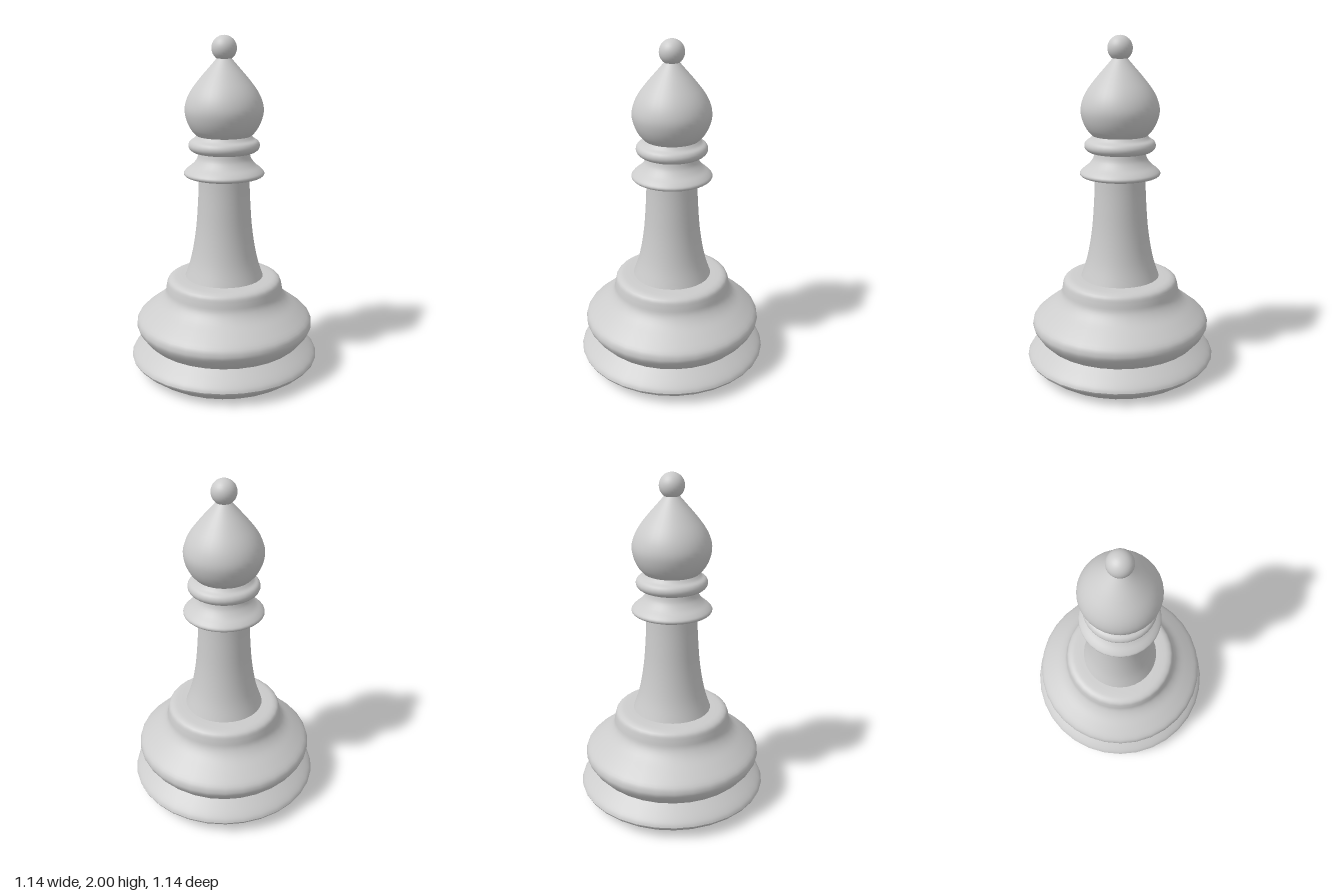
import * as THREE from 'three';

const SEGMENTS = 32;

// Smooth profile through [radius, height] points, listed from bottom to top
function smooth(points, steps) {
  const curve = new THREE.SplineCurve(points.map(([r, y]) => new THREE.Vector2(r, y)));
  return curve.getPoints(steps);
}

export function createModel() {
  const group = new THREE.Group();
  // The turned shell is hollow and open underneath
  const material = new THREE.MeshStandardMaterial({ color: 0xcccccc, side: THREE.DoubleSide });

  function addTurned(name, profile) {
    const mesh = new THREE.Mesh(new THREE.LatheGeometry(profile, SEGMENTS), material);
    mesh.name = name;
    group.add(mesh);
  }

  // Base: flared foot ring, then the wide bulge rising to a rounded shoulder
  addTurned('footUnderside', smooth([[0.47, 0], [0.515, 0.032], [0.56, 0.07], [0.57, 0.088]], 8));
  addTurned('footRing', smooth([[0.57, 0.088], [0.56, 0.108], [0.53, 0.138], [0.47, 0.187]], 10));
  addTurned('baseBulge', smooth([
    [0.47, 0.187], [0.505, 0.225], [0.53, 0.265], [0.535, 0.295], [0.52, 0.33],
    [0.46, 0.38], [0.395, 0.43], [0.36, 0.475], [0.35, 0.52], [0.34, 0.556],
    [0.315, 0.573], [0.28, 0.578], [0.235, 0.58],
  ], 40));

  // Concave tapering stem
  addTurned('stem', smooth([
    [0.235, 0.58], [0.205, 0.67], [0.183, 0.77], [0.166, 0.89], [0.156, 1.02],
    [0.151, 1.12], [0.15, 1.19],
  ], 18));

  // Collar with a flat underside and a sloping, concave top
  addTurned('collar', smooth([
    [0.15, 1.19], [0.195, 1.192], [0.228, 1.2], [0.236, 1.217], [0.218, 1.238],
    [0.185, 1.265], [0.158, 1.3], [0.148, 1.338],
  ], 24));

  // Rounded ring under the head
  addTurned('neckRing', smooth([
    [0.148, 1.338], [0.18, 1.341], [0.202, 1.358], [0.208, 1.38], [0.198, 1.402],
    [0.175, 1.417], [0.16, 1.435],
  ], 20));

  // Teardrop head
  addTurned('head', smooth([
    [0.16, 1.435], [0.19, 1.468], [0.216, 1.52], [0.228, 1.58], [0.216, 1.64],
    [0.185, 1.7], [0.135, 1.765], [0.08, 1.828], [0.042, 1.872],
  ], 28));

  // Ball finial
  const finial = new THREE.Mesh(new THREE.SphereGeometry(0.072, SEGMENTS, 16), material);
  finial.name = 'finial';
  finial.position.y = 1.928;
  group.add(finial);

  return group;
}
